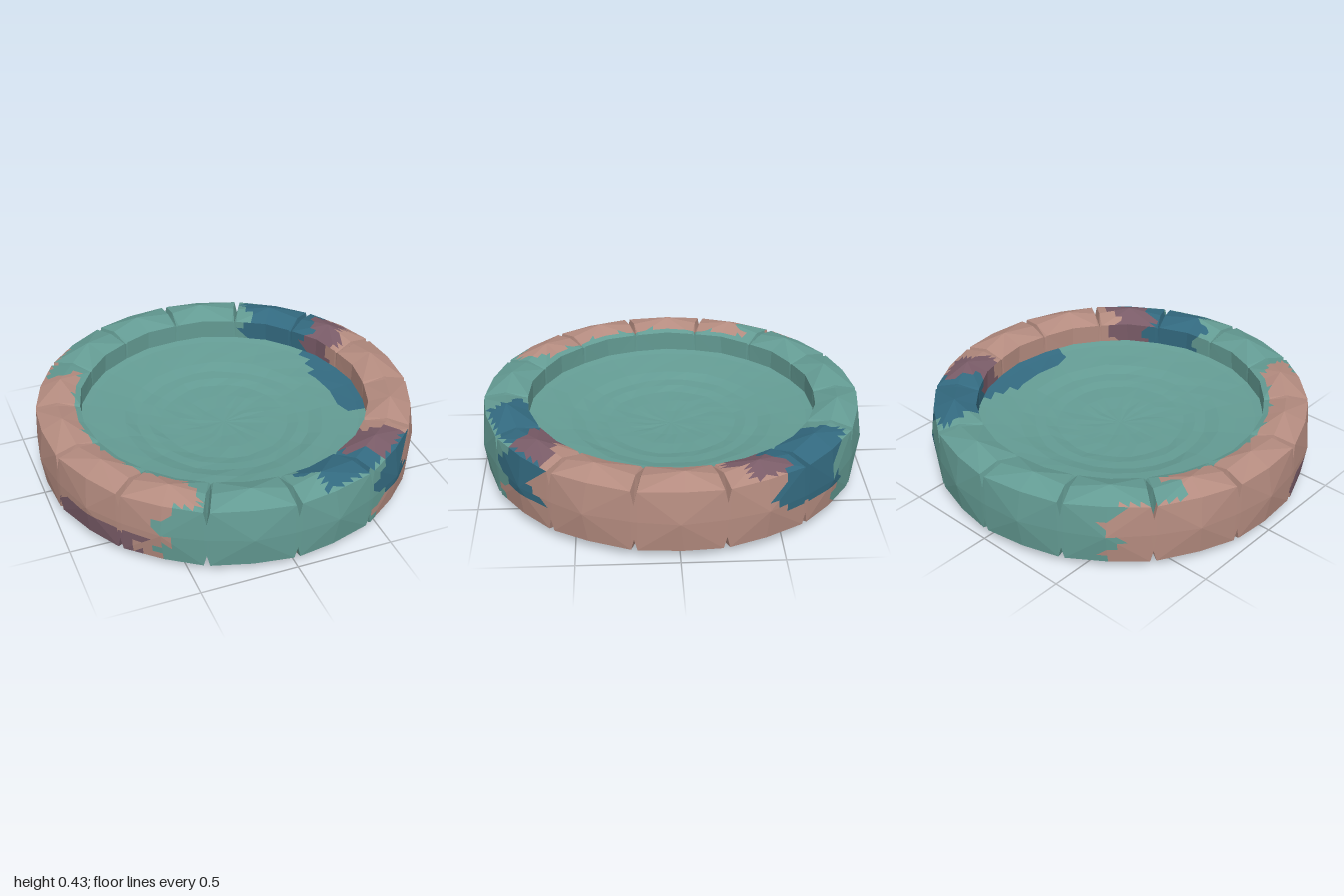
import * as THREE from 'three';

const BLOCKS = 14;
const STEP = (Math.PI * 2) / BLOCKS;
const COLORS = { clay: 0xb58c80, teal: 0x649c94, blue: 0x336a80, plum: 0x7a5c68 };

let seed = 7;
const jitter = (size) => {
  seed = (seed * 16807) % 2147483647;
  return (seed / 2147483647 - 0.5) * 2 * size;
};

const polar = (r, y, a) => new THREE.Vector3(r * Math.sin(a), y, r * Math.cos(a));

// Paint patches round the rim: [end angle in degrees, colour], 0 = front, 90 = +x
const TOP_PATCHES = [[-122, 'teal'], [-31, 'clay'], [7, 'teal'], [30, 'blue'], [45, 'plum'],
  [108, 'clay'], [121, 'plum'], [149, 'blue'], [181, 'teal']];
const SIDE_PATCHES = [[-140, 'teal'], [-38, 'clay'], [30, 'teal'], [46, 'blue'],
  [119, 'clay'], [143, 'blue'], [181, 'teal']];

function rimColor(p) {
  const r = Math.hypot(p.x, p.z);
  const wobble = 3 * Math.sin(p.y * 37 + r * 23);
  const a = THREE.MathUtils.radToDeg(Math.atan2(p.x, p.z)) + wobble;
  const pick = (list) => list.find(([end]) => a < end)?.[1] ?? 'teal';
  if (p.y < 0.06) return a > -165 && a < -135 ? 'teal' : 'clay';
  if (r < 0.79) {
    if (p.y < 0.16) return a > 0 && a < 45 ? 'teal' : 'clay';
    return a < 0 ? 'teal' : pick(TOP_PATCHES);
  }
  if (r < 0.965 && p.y > 0.3) return pick(TOP_PATCHES);
  // Blue drips stop part way down, with clay beneath
  const side = pick(SIDE_PATCHES);
  if (side === 'blue' && p.y < 0.19) return 'clay';
  if (a > -75 && a < -45 && p.y < 0.17) return 'plum';
  return side;
}

function floorColor(p) {
  const r = Math.hypot(p.x, p.z);
  if (p.y < 0.17) return r < 0.35 ? 'teal' : 'clay';
  return p.x > 0.61 && p.z > -0.4 && p.z < 0.25 ? 'blue' : 'teal';
}

// Split a triangle into smaller ones so that paint edges stay crisp
function split(tri, level, out) {
  if (level === 0) { out.push(tri); return; }
  const [a, b, c] = tri;
  const mid = (u, v) => u.clone().lerp(v, 0.5);
  const ab = mid(a, b), bc = mid(b, c), ca = mid(c, a);
  [[a, ab, ca], [ab, b, bc], [ca, bc, c], [ab, bc, ca]].forEach((t) => split(t, level - 1, out));
}

// One flat-shaded mesh per paint colour
function paintedGroup(name, triangles, colorOf, level) {
  const small = [];
  triangles.filter((t) => new THREE.Triangle(...t).getArea() > 1e-7)
    .forEach((t) => split(t, level, small));
  const buckets = {};
  for (const [a, b, c] of small) {
    const centre = a.clone().add(b).add(c).divideScalar(3);
    (buckets[colorOf(centre)] ??= []).push(a, b, c);
  }
  const group = new THREE.Group();
  group.name = name;
  for (const [color, points] of Object.entries(buckets)) {
    const geometry = new THREE.BufferGeometry().setFromPoints(points);
    geometry.computeVertexNormals();
    const material = new THREE.MeshStandardMaterial({ color: COLORS[color], flatShading: true });
    const mesh = new THREE.Mesh(geometry, material);
    mesh.name = `${name} ${color}`;
    group.add(mesh);
  }
  return group;
}

// Cross-sections as [radius, height]; odd points are the ridges.
// At the joint the wall stays flush and only the top and bottom corners are notched.
const MIDDLE = [[0.775, 0.06], [0.875, 0.006], [0.98, 0.06], [1.003, 0.22],
  [0.98, 0.385], [0.87, 0.434], [0.76, 0.385], [0.766, 0.22]];
const NEAR_END = [[0.77, 0.06], [0.875, 0.03], [0.985, 0.058], [0.992, 0.22],
  [0.985, 0.382], [0.87, 0.402], [0.755, 0.382], [0.76, 0.22]];
const JOINT = [[0.77, 0.065], [0.875, 0.06], [0.988, 0.12], [0.992, 0.22],
  [0.988, 0.31], [0.87, 0.355], [0.758, 0.372], [0.76, 0.22]];

function stoneBlock(index) {
  const centre = (index + 0.5) * STEP;
  const peak = jitter(0.08);
  const layout = [[-1, JOINT], [-0.93, NEAR_END], [peak, MIDDLE], [0.93, NEAR_END], [1, JOINT]];
  const rings = layout.map(([t, section], s) => section.map(([r, y], i) => {
    const ridge = s === 2 && i % 2 ? 1 : 0;
    return polar(r, y, centre + (t + ridge * jitter(0.08)) * STEP / 2);
  }));
  const triangles = [];
  for (let s = 0; s < 4; s++) {
    for (let i = 0; i < 8; i++) {
      const j = (i + 1) % 8;
      const a = rings[s][i], b = rings[s][j], c = rings[s + 1][j], d = rings[s + 1][i];
      // Diagonals run from the ridge points to the block corners
      if ((s < 2) === (j % 2 === 1)) triangles.push([a, d, c], [a, c, b]);
      else triangles.push([a, d, b], [d, c, b]);
    }
  }
  return paintedGroup('stoneBlock', triangles, rimColor, 2);
}

// Shallow terraced bowl, from the lower centre round to the upper centre
function floorBowl() {
  const profile = [[0, 0.085], [0.13, 0.086], [0.24, 0.09], [0.34, 0.092], [0.4, 0.1], [0.46, 0.102],
    [0.53, 0.112], [0.62, 0.115], [0.72, 0.122], [0.775, 0.125], [0.775, 0.28], [0.72, 0.268],
    [0.62, 0.256], [0.53, 0.246], [0.46, 0.228], [0.4, 0.225], [0.34, 0.214], [0.24, 0.212],
    [0.13, 0.206], [0, 0.204]];
  const sides = 28;
  const rings = profile.map(([r, y]) => Array.from({ length: sides }, (_, k) => {
    const rough = r > 0.05 && r < 0.7 ? 1 : 0;
    return polar(r + rough * jitter(0.006), y + rough * jitter(0.002), k * STEP / 2);
  }));
  const triangles = [];
  for (let i = 0; i < profile.length - 1; i++) {
    for (let k = 0; k < sides; k++) {
      const n = (k + 1) % sides;
      const a = rings[i][k], b = rings[i + 1][k], c = rings[i + 1][n], d = rings[i][n];
      triangles.push([a, d, c], [a, c, b]);
    }
  }
  return paintedGroup('floorBowl', triangles, floorColor, 1);
}

export function createModel() {
  seed = 7;
  const model = new THREE.Group();
  model.name = 'stoneBasin';
  const rim = new THREE.Group();
  rim.name = 'stoneRim';
  for (let i = 0; i < BLOCKS; i++) rim.add(stoneBlock(i));
  model.add(rim, floorBowl());

  // Rest on the ground, centred
  const box = new THREE.Box3().setFromObject(model);
  const middle = box.getCenter(new THREE.Vector3());
  model.position.set(-middle.x, -box.min.y, -middle.z);
  return model;
}
